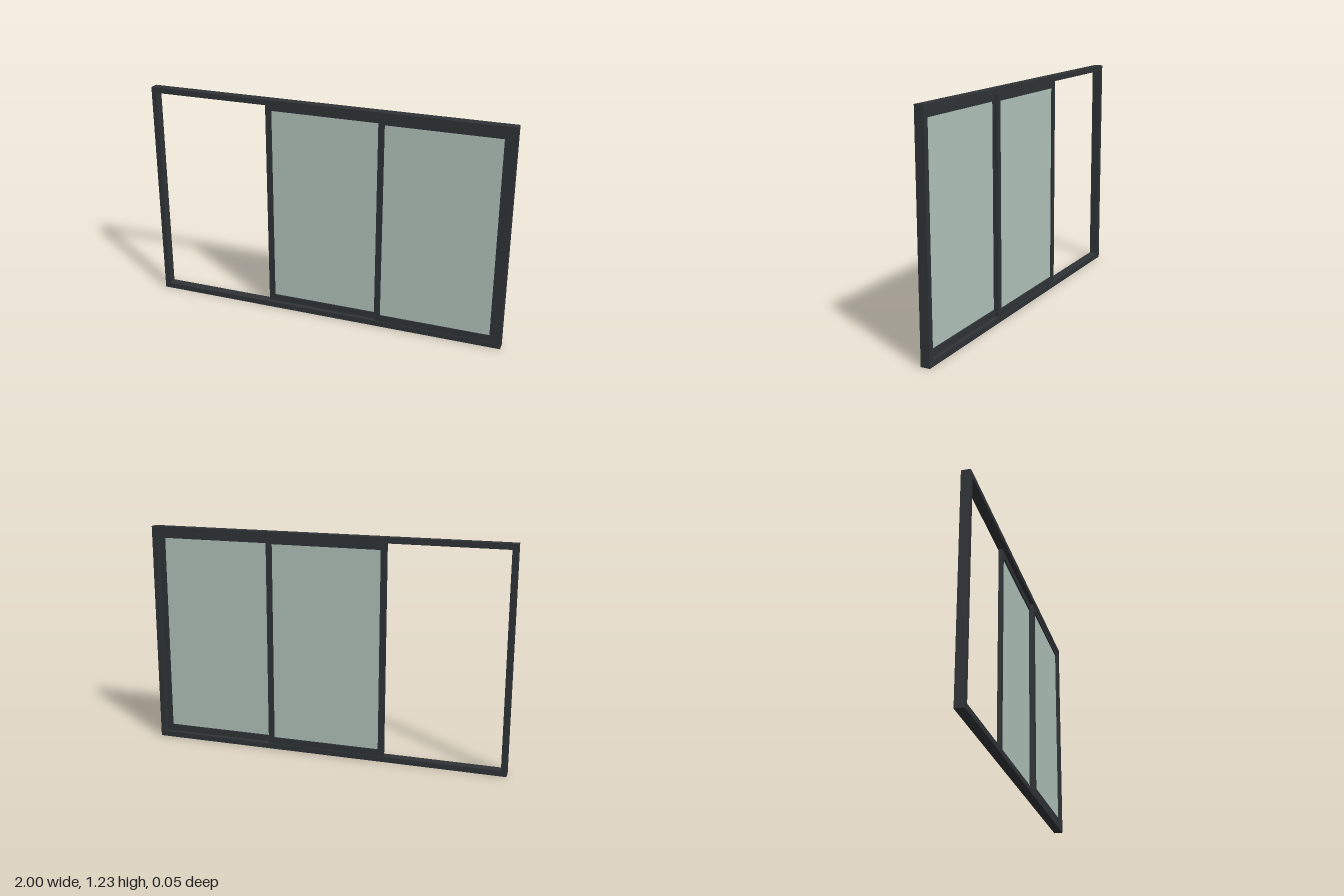
import * as THREE from 'three';

const W = 2, H = 1.225, DEPTH = 0.05, BAR = 0.03;
const SASH_DEPTH = 0.02, STILE = 0.032, RAIL = 0.036;

const metal = new THREE.MeshStandardMaterial({ color: 0x303437 });
const glass = new THREE.MeshStandardMaterial({ color: 0xb2c3bc });

// Box given by its extents on x and y, centred on z
function bar(name, x0, x1, y0, y1, z, depth, material = metal) {
  const mesh = new THREE.Mesh(new THREE.BoxGeometry(x1 - x0, y1 - y0, depth), material);
  mesh.position.set((x0 + x1) / 2, (y0 + y1) / 2, z);
  mesh.name = name;
  return mesh;
}

// Rectangular surround: full-height uprights with rails between them
function surround(name, x0, x1, y0, y1, side, rail, z, depth) {
  const group = new THREE.Group();
  group.name = name;
  group.add(
    bar('rightStile', x0, x0 + side, y0, y1, z, depth),
    bar('leftStile', x1 - side, x1, y0, y1, z, depth),
    bar('bottomRail', x0 + side, x1 - side, y0, y0 + rail, z, depth),
    bar('topRail', x0 + side, x1 - side, y1 - rail, y1, z, depth)
  );
  return group;
}

// Sliding panel: surround with a thin pane in the middle of its depth
function sash(name, x0, x1, z) {
  const y0 = BAR, y1 = H - BAR;
  const group = surround(name, x0, x1, y0, y1, STILE, RAIL, z, SASH_DEPTH);
  group.add(bar('glassPane', x0 + STILE, x1 - STILE, y0 + RAIL, y1 - RAIL, z, 0.004, glass));
  return group;
}

export function createModel() {
  const model = new THREE.Group();
  model.name = 'slidingWindow';
  model.add(surround('outerFrame', -W / 2, W / 2, 0, H, BAR, BAR, 0, DEPTH));
  // The two panels run on separate tracks and overlap by one stile
  model.add(sash('rearSash', -0.335, 0.33, -0.0105));
  model.add(sash('frontSash', 0.298, W / 2 - BAR, 0.0105));
  return model;
}
